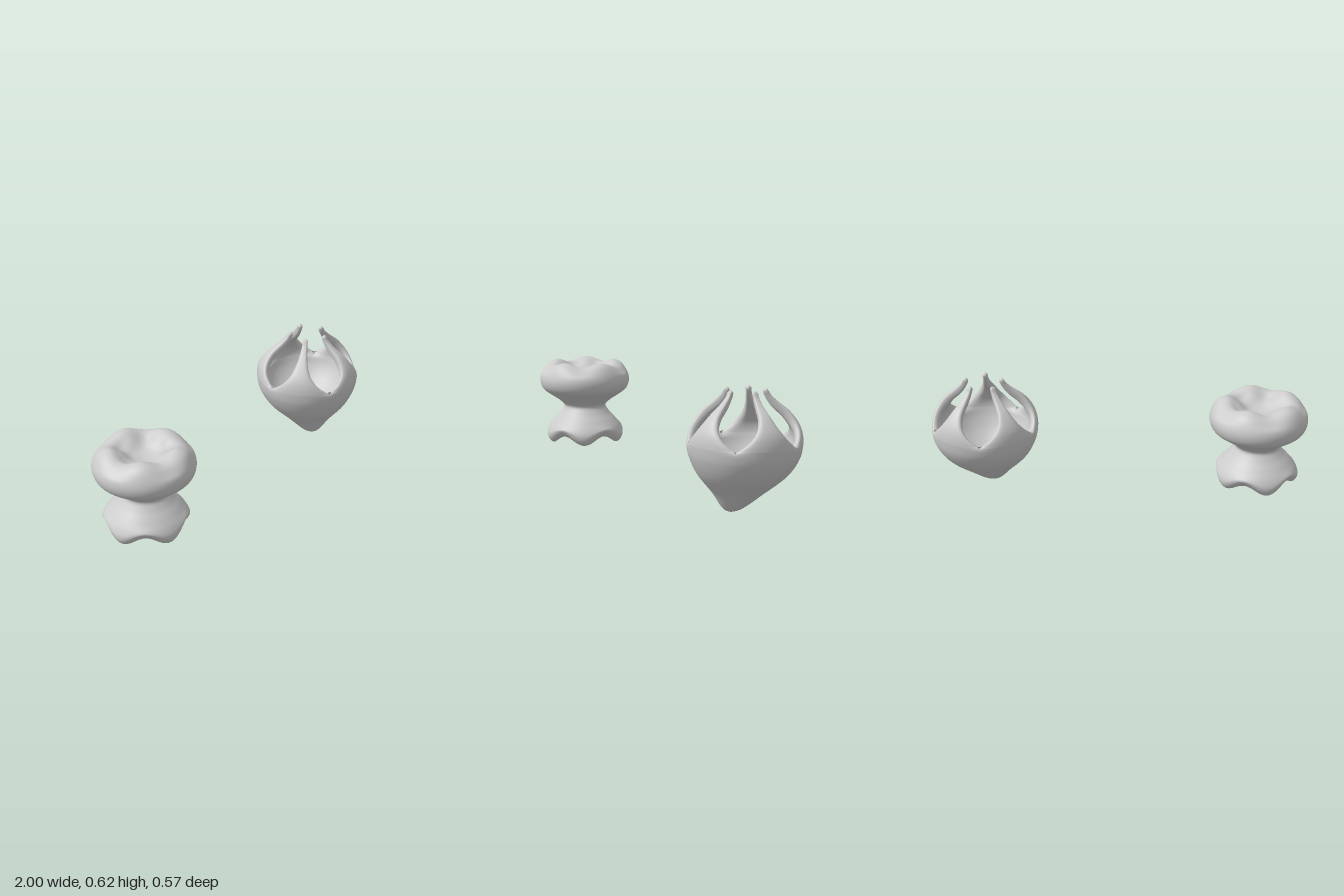
import * as THREE from 'three';
import { ParametricGeometry } from 'three/addons/geometries/ParametricGeometry.js';
import { mergeGeometries, mergeVertices } from 'three/addons/utils/BufferGeometryUtils.js';

const RAD = Math.PI / 180;
const curve = rows => new THREE.CatmullRomCurve3(rows.map(([r, y, w = 0]) => new THREE.Vector3(r, y, w)));
const smooth = THREE.MathUtils.smoothstep;

// Welds surfaces into one smooth mesh
function smoothMesh(name, parts) {
  let geometry = mergeGeometries(parts);
  geometry.deleteAttribute('normal');
  geometry.deleteAttribute('uv');
  geometry = mergeVertices(geometry, 1e-4);
  geometry.computeVertexNormals();
  const mesh = new THREE.Mesh(geometry, new THREE.MeshStandardMaterial({ color: 0xcccccc, side: THREE.DoubleSide }));
  mesh.name = name;
  return mesh;
}

// Pointed cup whose wall splits into five inward-curving prongs
function createCup() {
  // outer wall: radius, height, a tenth of the share of the sector's width
  const outer = curve([
    [0, 0, 0.1], [0.045, 0.018, 0.1], [0.13, 0.1, 0.1], [0.23, 0.2, 0.1], [0.275, 0.285, 0.1],
    [0.286, 0.348, 0.1], [0.286, 0.364, 0.088], [0.283, 0.39, 0.068], [0.275, 0.42, 0.051],
    [0.257, 0.455, 0.037], [0.218, 0.503, 0.026], [0.16, 0.55, 0.021], [0.124, 0.585, 0.02],
    [0.111, 0.607, 0.02], [0.1, 0.616, 0]
  ]);
  // inner wall, matched point by point: radius, height
  const inner = curve([
    [0, 0.13], [0.05, 0.136], [0.11, 0.165], [0.182, 0.228], [0.222, 0.292],
    [0.238, 0.342], [0.24, 0.356], [0.239, 0.378], [0.232, 0.404],
    [0.214, 0.434], [0.182, 0.474], [0.13, 0.524], [0.098, 0.572],
    [0.088, 0.602], [0.1, 0.616]
  ]);
  const sector = k => new ParametricGeometry((u, v, target) => {
    // v climbs the inside to the tip, then descends the outside
    const t = 1 - Math.abs(2 * v - 1);
    const a = outer.getPoint(t), b = inner.getPoint(t);
    const across = Math.sin((u - 0.5) * Math.PI);
    // cut edges are rounded: the two faces meet inside the wall, nearer its outer face
    const pinch = smooth(a.y, 0.335, 0.36);
    const spread = Math.sqrt(Math.max(0, 1 - pinch * across ** 4));
    const mix = 0.35 + (v < 0.5 ? 0.65 : -0.35) * spread;
    const r = THREE.MathUtils.lerp(a.x, b.x, mix);
    const y = THREE.MathUtils.lerp(a.y, b.y, mix);
    const width = THREE.MathUtils.clamp(10 * a.z, 0, 1);
    const angle = (84 + 72 * k + 36 * width * across) * RAD;
    // the bottom point leans off centre
    const lean = Math.max(0, 1 - y / 0.3) ** 2;
    target.set(r * Math.cos(angle) - 0.025 * lean, y, r * Math.sin(angle) + 0.062 * lean);
  }, 20, 168);
  const cup = smoothMesh('prongedCup', [0, 1, 2, 3, 4].map(sector));
  cup.position.x = 0.715;
  return cup;
}

// Waisted body with a dimpled lobed cap and a scalloped, hollow skirt
function createLobedBody() {
  const profile = curve([
    [0, 0.51], [0.06, 0.522], [0.115, 0.562], [0.165, 0.586], [0.21, 0.572],
    [0.242, 0.53], [0.256, 0.48], [0.243, 0.432], [0.2, 0.396], [0.147, 0.36],
    [0.118, 0.327], [0.137, 0.292], [0.174, 0.25], [0.206, 0.208], [0.221, 0.172],
    [0.216, 0.142], [0.194, 0.12], [0.172, 0.134], [0.14, 0.17], [0.08, 0.21], [0, 0.22]
  ]);
  const body = smoothMesh('lobedBody', [new ParametricGeometry((u, v, target) => {
    const p = profile.getPoint(v);
    const angle = u * 2 * Math.PI;
    const valley = phase => 0.5 - 0.5 * Math.cos(5 * (angle - phase * RAD));
    let r = p.x, y = p.y;
    if (v < 0.4) {
      // radial grooves across the cap
      y -= 0.024 * valley(0) * smooth(r, 0.03, 0.13) * smooth(y, 0.5, 0.57);
    } else {
      // scallops lift and draw in the skirt edge between its lobes
      const edge = smooth(-y, -0.24, -0.13);
      y += 0.045 * valley(34) * edge;
      r *= 1 - 0.06 * valley(34) * edge;
    }
    target.set(r * Math.cos(angle), y, r * Math.sin(angle));
  }, 100, 120)]);
  body.position.x = -0.745;
  return body;
}

export function createModel() {
  const model = new THREE.Group();
  model.name = 'cupAndLobedBody';
  model.add(createCup(), createLobedBody());
  return model;
}
